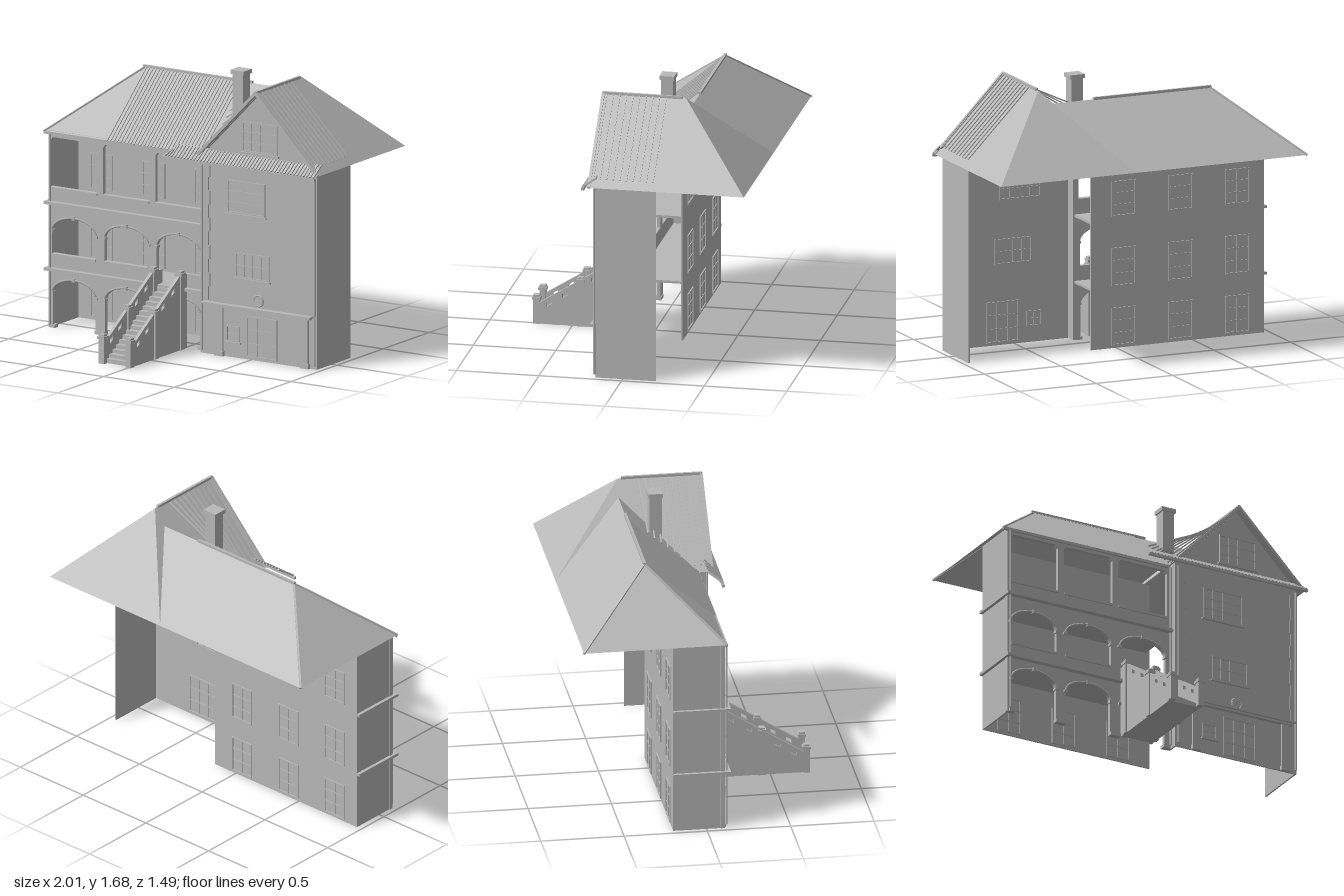
import * as THREE from 'three';

const stone = new THREE.MeshStandardMaterial({ color: 0xb8b8b8, side: THREE.DoubleSide });
stone.name = 'stone grey';

export function createModel() {
  const root = new THREE.Group();
  root.name = 'house';
  const V = (x, y, z) => new THREE.Vector3(x, y, z);

  const add = (name, geo, parent = root) => {
    const m = new THREE.Mesh(geo, stone);
    m.name = name;
    parent.add(m);
    return m;
  };
  const group = (name) => {
    const g = new THREE.Group();
    g.name = name;
    root.add(g);
    return g;
  };
  // box from its limits
  const box = (name, x0, x1, y0, y1, z0, z1, parent) =>
    add(name, new THREE.BoxGeometry(x1 - x0, y1 - y0, z1 - z0), parent)
      .position.set((x0 + x1) / 2, (y0 + y1) / 2, (z0 + z1) / 2);
  // flat polygon as a fan from its first corner
  const face = (name, pts, parent) => {
    const tris = [];
    for (let i = 1; i < pts.length - 1; i++) tris.push(...pts[0], ...pts[i], ...pts[i + 1]);
    const g = new THREE.BufferGeometry();
    g.setAttribute('position', new THREE.Float32BufferAttribute(tris, 3));
    g.computeVertexNormals();
    add(name, g, parent);
  };
  // square bar between two points
  const bar = (name, a, b, w, parent) => {
    const m = add(name, new THREE.BoxGeometry(w, w, a.distanceTo(b)), parent);
    m.position.copy(a).lerp(b, 0.5);
    m.lookAt(b);
  };
  const extrude = (shape, depth) =>
    new THREE.ExtrudeGeometry(shape, { depth, bevelEnabled: false, curveSegments: 16 });
  // framed window with glazing bars, showing on both sides of its wall
  const windowFrame = (name, x0, x1, y0, y1, z, cols, rows, sill = true) => {
    const g = group(name), f = 0.009, d = 0.012;
    box('jamb', x0, x0 + f, y0, y1, z - d, z + d, g);
    box('jamb', x1 - f, x1, y0, y1, z - d, z + d, g);
    box('head', x0, x1, y1 - f, y1, z - d, z + d, g);
    box('foot', x0, x1, y0, y0 + f, z - d, z + d, g);
    for (let i = 1; i < cols; i++) {
      const x = x0 + (x1 - x0) * i / cols;
      box('glazingBar', x - 0.003, x + 0.003, y0, y1, z - 0.009, z + 0.009, g);
    }
    for (let i = 1; i < rows; i++) {
      const y = y0 + (y1 - y0) * i / rows;
      box('glazingBar', x0, x1, y - 0.003, y + 0.003, z - 0.009, z + 0.009, g);
    }
    if (sill) box('sill', x0 - 0.01, x1 + 0.01, y0 - 0.01, y0, z, z + 0.02, g);
  };

  // ---- Wing walls, open at the back
  const wz = 0.165;
  const gable = new THREE.Shape();
  [[0.15, 0], [0.965, 0], [0.965, 1.2], [0.555, 1.62], [0.15, 1.2]].forEach(([x, y], i) =>
    i ? gable.lineTo(x, y) : gable.moveTo(x, y));
  add('wingFrontWall', extrude(gable, 0.01)).position.z = wz - 0.01;
  box('wingSideWall', 0.955, 0.965, 0, 1.2, -0.2, wz);
  box('wingReturnWall', 0.14, 0.15, 0, 1.2, 0.09, wz);
  const wc = wz - 0.005;
  windowFrame('gableWindow', 0.44, 0.69, 1.265, 1.45, wc, 4, 3);
  windowFrame('wingUpperWindow', 0.33, 0.6, 0.88, 1.08, wc, 4, 3);
  windowFrame('wingMiddleWindow', 0.39, 0.63, 0.49, 0.645, wc, 4, 2);
  windowFrame('wingSmallWindow', 0.325, 0.42, 0.095, 0.19, wc, 2, 2);
  windowFrame('wingDoor', 0.47, 0.685, 0.015, 0.265, wc, 3, 3, false);
  // corner stones, pilasters, band and medallion
  for (let i = 0; i < 10; i++) {
    const y = 0.33 + i * 0.083, w = i % 2 ? 0.045 : 0.035;
    box('cornerStone', 0.165, 0.165 + w, y, y + 0.083, wz, wz + 0.007);
    box('cornerStone', 0.96 - w, 0.96, y, y + 0.083, wz, wz + 0.007);
  }
  for (const x of [0.255, 0.86]) {
    box('pilaster', x, x + 0.05, 0, 0.3, wz, wz + 0.015);
    box('pilasterFoot', x - 0.005, x + 0.055, 0, 0.03, wz, wz + 0.02);
  }
  box('wingBand', 0.18, 0.93, 0.3, 0.312, wz, wz + 0.025);
  box('wingBandCap', 0.17, 0.94, 0.312, 0.322, wz, wz + 0.04);
  const disc = add('medallion', new THREE.CylinderGeometry(0.028, 0.028, 0.01, 24));
  disc.rotation.x = Math.PI / 2;
  disc.position.set(0.555, 0.367, wz + 0.004);
  add('medallionRim', new THREE.TorusGeometry(0.033, 0.005, 6, 24)).position.set(0.555, 0.367, wz + 0.004);

  // ---- Main block: rear wall, end wall and gallery floors
  box('rearWall', -0.965, 0.165, 0, 1.2, -0.2, -0.19);
  box('endWall', -0.965, -0.955, 0, 1.2, -0.2, 0.1);
  const bays = [-0.79, -0.42, -0.05];
  for (const y of [0.345, 0.75]) {
    box('galleryFloor', -0.96, 0.14, y, y + 0.015, -0.195, 0.1);
    box('galleryBeam', -0.985, 0.14, y + 0.005, y + 0.022, 0.1, 0.145);
    box('endBeam', -0.985, -0.965, y + 0.005, y + 0.022, -0.2, 0.12);
  }
  for (const c of bays)
    for (const [y0, y1] of [[0.015, 0.245], [0.375, 0.61], [0.8, 1.015]])
      windowFrame('rearWindow', c - 0.08, c + 0.08, y0, y1, -0.195, 2, 3, false);

  // ---- Gallery front with arched and square openings
  const front = new THREE.Shape();
  front.moveTo(-0.97, 0);
  for (const c of bays) {
    front.lineTo(c - 0.15, 0);
    front.lineTo(c - 0.15, 0.215);
    front.absellipse(c, 0.215, 0.15, 0.085, Math.PI, 0, true);
    front.lineTo(c + 0.15, 0);
  }
  front.lineTo(0.15, 0);
  front.lineTo(0.15, 1.2);
  front.lineTo(-0.97, 1.2);
  bays.forEach((c, i) => {
    const mid = new THREE.Path();
    mid.moveTo(c - 0.155, 0.45);
    if (i === 2) [[-0.18, 0.45], [-0.18, 0.368], [-0.01, 0.368], [-0.01, 0.45]].forEach(p => mid.lineTo(...p));
    mid.lineTo(c + 0.155, 0.45);
    mid.lineTo(c + 0.155, 0.59);
    mid.absellipse(c, 0.59, 0.155, 0.09, 0, Math.PI, false);
    mid.lineTo(c - 0.155, 0.45);
    const top = new THREE.Path();
    [[c - 0.165, 0.855], [c + 0.165, 0.855], [c + 0.165, 1.14], [c + 0.15, 1.16], [c - 0.15, 1.16], [c - 0.165, 1.14]]
      .forEach((p, k) => k ? top.lineTo(...p) : top.moveTo(...p));
    front.holes.push(mid, top);
    // arch mouldings, imposts and keystones
    for (const [y, rx, ry] of [[0.215, 0.155, 0.09], [0.59, 0.158, 0.093]]) {
      const pts = [];
      for (let k = 0; k <= 12; k++) {
        const a = Math.PI * k / 12;
        pts.push(V(c + rx * Math.cos(a), y + ry * Math.sin(a), 0.112));
      }
      add('archMoulding', new THREE.TubeGeometry(new THREE.CatmullRomCurve3(pts), 20, 0.006, 4));
      box('keystone', c - 0.01, c + 0.01, y + ry - 0.01, y + ry + 0.012, 0.1, 0.122);
      for (const s of [-1, 1])
        box('impost', c + s * rx - 0.012, c + s * rx + 0.012, y - 0.008, y + 0.008, 0.09, 0.12);
    }
    box('upperRail', c - 0.165, c + 0.165, 0.845, 0.858, 0.085, 0.12);
    if (i < 2) box('middleRail', c - 0.155, c + 0.155, 0.44, 0.453, 0.085, 0.12);
  });
  add('galleryFront', extrude(front, 0.025)).position.z = 0.085;
  // column feet and rainwater pipes
  for (const x of [-0.957, -0.605, -0.235, 0.125])
    box('columnFoot', x - 0.035 * (x > -0.9), x + 0.035 * (x < 0.1), 0, 0.02, 0.08, 0.118);
  for (const [x, z] of [[-0.955, 0.122], [0.135, 0.122], [0.157, 0.175], [0.955, 0.175]])
    add('rainPipe', new THREE.CylinderGeometry(0.007, 0.007, 1.16, 8)).position.set(x, 0.6, z);

  // ---- Roof
  const roof = group('roof'), E = 1.19;
  const A = [-1, E, 0.12], B = [0.12, E, 0.12], C = [0.47, 1.555, -0.31], D = [-0.56, 1.555, -0.31];
  const F = [-1, E, -0.74], G = [0.12, E, -0.74], H = [1, E, -0.74];
  const P = [0.555, 1.64, 0.2], Q = [0.555, 1.64, -0.3];
  face('mainFrontSlope', [A, B, C, D], roof);
  face('mainEndSlope', [F, A, D], roof);
  face('mainRearSlope', [G, F, D, C], roof);
  face('wingLeftSlope', [C, B, [0.12, E, 0.2], P, Q, G].reverse(), roof);
  face('wingRightSlope', [P, [1, E, 0.2], H, Q], roof);
  face('wingRearSlope', [H, G, Q], roof);
  // ridge caps, hips and gable boards
  bar('mainRidge', V(-0.57, 1.56, -0.31), V(0.2, 1.56, -0.31), 0.016, roof);
  bar('wingRidge', V(0.555, 1.643, 0.205), V(0.555, 1.643, -0.28), 0.016, roof);
  bar('frontHip', V(...A), V(...D), 0.012, roof);
  bar('rearHip', V(...F), V(...D), 0.012, roof);
  bar('gableBoard', V(0.12, E, 0.2), V(...P), 0.018, roof);
  bar('gableBoard', V(0.995, E, 0.2), V(...P), 0.018, roof);
  bar('mainGutter', V(-1, E - 0.004, 0.115), V(0.12, E - 0.004, 0.115), 0.016, roof);
  // raised seams
  for (let i = 0; i < 29; i++) {
    const x = -0.55 + i * 0.0238;
    bar('mainSeam', V(x, E + 0.003, 0.12), V(x, 1.558, -0.31), 0.008, roof);
  }
  for (let i = 0; i < 10; i++) {
    const z = 0.18 - i * 0.04;
    const y = Math.max(1.222, E + (0.12 - z) * 0.85) + 0.003;
    bar('wingSeam', V(0.15, y, z), V(0.545, 1.633, z), 0.008, roof);
    bar('wingSeam', V(0.96, 1.233, z), V(0.56, 1.638, z), 0.008, roof);
  }

  // ---- Narrow lean-to roof across the gable
  const pent = group('leanToRoof');
  face('leanToSlope', [[-0.08, 1.185, 0.24], [1, 1.185, 0.24], [0.97, 1.245, 0.155], [-0.02, 1.245, 0.155]], pent);
  for (let i = 0; i <= 46; i++) {
    const x = -0.06 + i * 0.0228;
    bar('leanToSeam', V(x, 1.188, 0.242), V(Math.max(x, -0.02), 1.247, 0.157), 0.009, pent);
  }
  bar('leanToGutter', V(-0.08, 1.178, 0.238), V(0.998, 1.178, 0.238), 0.016, pent);

  // ---- Chimney
  box('chimneyStack', 0.2, 0.275, 1.4, 1.66, -0.165, -0.09);
  box('chimneyCap', 0.19, 0.285, 1.655, 1.68, -0.172, -0.083);

  // ---- Outside stair
  const stair = group('stair'), steps = 16;
  for (let i = 0; i < steps; i++) {
    const z = 0.7 - i * 0.036;
    box('step', -0.19, 0, 0, 0.022 * (i + 1) + 0.003, z - 0.036, z, stair);
  }
  // pierced side walls
  const side = new THREE.Shape();
  [[0.11, 0], [0.725, 0], [0.7, 0.13], [0.19, 0.45], [0.11, 0.45]].forEach((p, i) =>
    i ? side.lineTo(...p) : side.moveTo(...p));
  for (const z of [0.64, 0.545, 0.37, 0.265]) {
    const y = 0.13 + (0.7 - z) * 0.627 - 0.04, hole = new THREE.Path();
    [[-0.016, 0], [0.016, -0.02], [0.016, 0.005], [-0.016, 0.025]].forEach(([a, b], i) =>
      i ? hole.lineTo(z + a, y + b) : hole.moveTo(z + a, y + b));
    side.holes.push(hole);
  }
  for (const x of [-0.19, 0]) {
    const wall = add('stairSideWall', extrude(side, 0.02), stair);
    wall.rotation.y = -Math.PI / 2;
    wall.position.x = x + 0.01;
    for (const [z, y] of [[0.717, 0.175], [0.45, 0.3], [0.17, 0.475]]) {
      box('stairPost', x - 0.019, x + 0.019, 0, y - 0.02, z - 0.019, z + 0.019, stair);
      box('postCap', x - 0.025, x + 0.025, y - 0.025, y - 0.008, z - 0.025, z + 0.025, stair);
      box('postTop', x - 0.018, x + 0.018, y - 0.008, y + 0.004, z - 0.018, z + 0.018, stair);
    }
  }
  return root;
}
